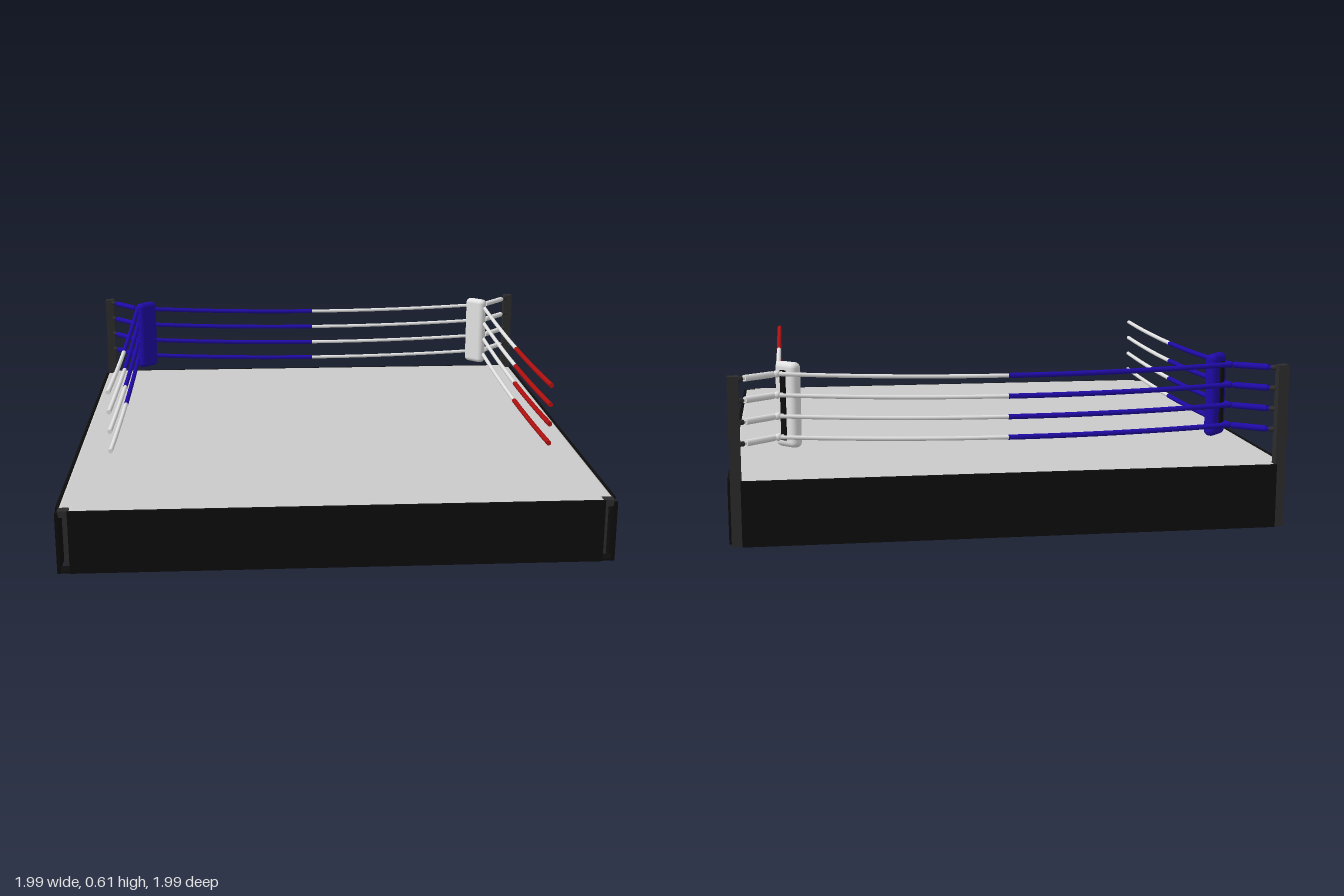
import * as THREE from 'three';
import { RoundedBoxGeometry } from 'three/addons/geometries/RoundedBoxGeometry.js';

const mat = (name, color) => {
  const m = new THREE.MeshStandardMaterial({ color });
  m.name = name;
  return m;
};

export function createModel() {
  const ring = new THREE.Group();
  ring.name = 'ring';
  const canvas = mat('canvas grey', 0xcacaca);
  const white = mat('white', 0xe2e2e2);
  const blue = mat('blue', 0x1f0aa6);
  const red = mat('red', 0xae1010);
  const black = mat('black', 0x0d0d0d);
  const steel = mat('dark steel', 0x2c2c2c);

  const add = (name, geo, material, x = 0, y = 0, z = 0, parent = ring) => {
    const m = new THREE.Mesh(geo, material);
    m.name = name;
    m.position.set(x, y, z);
    parent.add(m);
    return m;
  };
  const box = (name, w, h, d, material, x, y, z, parent) =>
    add(name, new THREE.BoxGeometry(w, h, d), material, x, y, z, parent);
  // round bar between two points
  const bar = (name, a, b, r, material, parent = ring, sides = 10) => {
    const dir = b.clone().sub(a);
    const mid = a.clone().add(b).multiplyScalar(0.5);
    const m = add(name, new THREE.CylinderGeometry(r, r, dir.length(), sides), material, mid.x, mid.y, mid.z, parent);
    m.quaternion.setFromUnitVectors(new THREE.Vector3(0, 1, 0), dir.normalize());
    return m;
  };
  const V = (x, y, z) => new THREE.Vector3(x, y, z);

  // deck with notched corners and a soft edge
  const e = 0.975, c = 0.937;
  const outline = [[c, e], [c, c], [e, c]];
  const pts = [];
  for (let q = 0; q < 4; q++) {
    const a = -q * Math.PI / 2;
    for (const [x, y] of outline) {
      pts.push(new THREE.Vector2(x * Math.cos(a) - y * Math.sin(a), x * Math.sin(a) + y * Math.cos(a)));
    }
  }
  const deckGeo = new THREE.ExtrudeGeometry(new THREE.Shape(pts), {
    depth: 0.012, bevelThickness: 0.006, bevelSize: 0.009, bevelSegments: 3
  });
  deckGeo.rotateX(-Math.PI / 2);
  add('deck', deckGeo, canvas, 0, 0.215, 0);

  // four sides: cloth skirt and the truss behind it
  for (let s = 0; s < 4; s++) {
    const side = new THREE.Group();
    side.name = 'side';
    side.rotation.y = s * Math.PI / 2;
    ring.add(side);
    box('skirt', 1.9, 0.231, 0.01, black, 0, 0.1155, 0.991, side);
    const z = 0.965, lo = 0.012, hi = 0.198, n = 8, w = 1.88 / n;
    for (const y of [lo, hi]) box('trussChord', 1.88, 0.02, 0.02, steel, 0, y, z, side);
    for (let i = 0; i <= n; i++) {
      const x = -0.94 + i * w;
      box('trussUpright', 0.018, hi - lo, 0.018, steel, x, (lo + hi) / 2, z, side);
      if (i < n) {
        const up = i % 2 === 0;
        bar('trussBrace', V(x, up ? lo : hi, z), V(x + w, up ? hi : lo, z), 0.01, steel, side, 6);
      }
    }
  }

  // tall back posts; open front corners with a thin edge and a cap
  for (const sx of [-1, 1]) {
    box('post', 0.038, 0.59, 0.038, steel, sx * 0.967, 0.295, -0.967);
    box('cornerCap', 0.038, 0.024, 0.038, steel, sx * 0.967, 0.218, 0.967);
    box('cornerEdge', 0.012, 0.225, 0.012, black, sx * 0.988, 0.1125, 0.988);
    box('cornerFoot', 0.05, 0.008, 0.05, black, sx * 0.967, 0.004, 0.967);
  }

  // ropes: sagging about the middle of each side
  const levels = [0.325, 0.4, 0.475, 0.55];
  const R = 0.82;
  const sag = t => 0.023 * (t / R) ** 2;
  const rope = (name, y, from, to, place, r, material) => {
    const path = [];
    for (let i = 0; i <= 5; i++) {
      const t = from + (to - from) * i / 5;
      path.push(place(t, y + sag(t)));
    }
    const curve = new THREE.CatmullRomCurve3(path);
    add(name, new THREE.TubeGeometry(curve, 12, r, 10), material);
    // end caps
    for (const [p, q] of [[path[0], path[1]], [path[5], path[4]]]) {
      const cap = add('ropeEnd', new THREE.CircleGeometry(r, 10), material, p.x, p.y, p.z);
      cap.lookAt(p.clone().multiplyScalar(2).sub(q));
    }
  };
  const back = (t, y) => V(t, y, -0.827);
  const left = (t, y) => V(0.817, y, t);
  const right = (t, y) => V(-0.825, y, t);
  for (const y of levels) {
    rope('backRopeBlue', y, -R, 0, back, 0.0095, blue);
    rope('backRopeWhite', y, 0, R, back, 0.0075, white);
    rope('leftRopeWhite', y, -R, 0, left, 0.0085, white);
    rope('leftRopeRed', y, 0, 0.65, left, 0.0095, red);
    rope('rightRopeBlue', y, -R, -0.04, right, 0.0095, blue);
    rope('rightRopeWhite', y, -0.04, 0.65, right, 0.0085, white);
  }

  // corner pads and the turnbuckles tying them to the posts
  for (const [sx, colour] of [[-1, blue], [1, white]]) {
    const corner = new THREE.Group();
    corner.name = 'cornerPad';
    corner.position.set(sx * 0.782, 0.457, -0.782);
    corner.rotation.y = -sx * Math.PI / 4;
    ring.add(corner);
    add('pad', new RoundedBoxGeometry(0.1, 0.305, 0.046, 4, 0.02), colour, 0, 0, 0, corner);
    box('padStrap', 0.022, 0.25, 0.008, black, 0, 0, -0.026, corner);
    for (const l of levels) {
      const y = l + sag(R);
      const at = (d, dy = 0) => V(sx * d, y + dy, -d);
      bar('turnbuckleRod', at(0.795), at(0.955, 0.004), 0.006, colour);
      bar('turnbuckleSleeve', at(0.835), at(0.93, 0.003), 0.0115, colour);
      add('ropeJoint', new THREE.SphereGeometry(0.013, 10, 8), colour, sx * 0.821, y, -0.825);
      bar('postHook', at(0.938, 0.003), at(0.952, 0.004), 0.009, steel);
    }
  }
  return ring;
}
